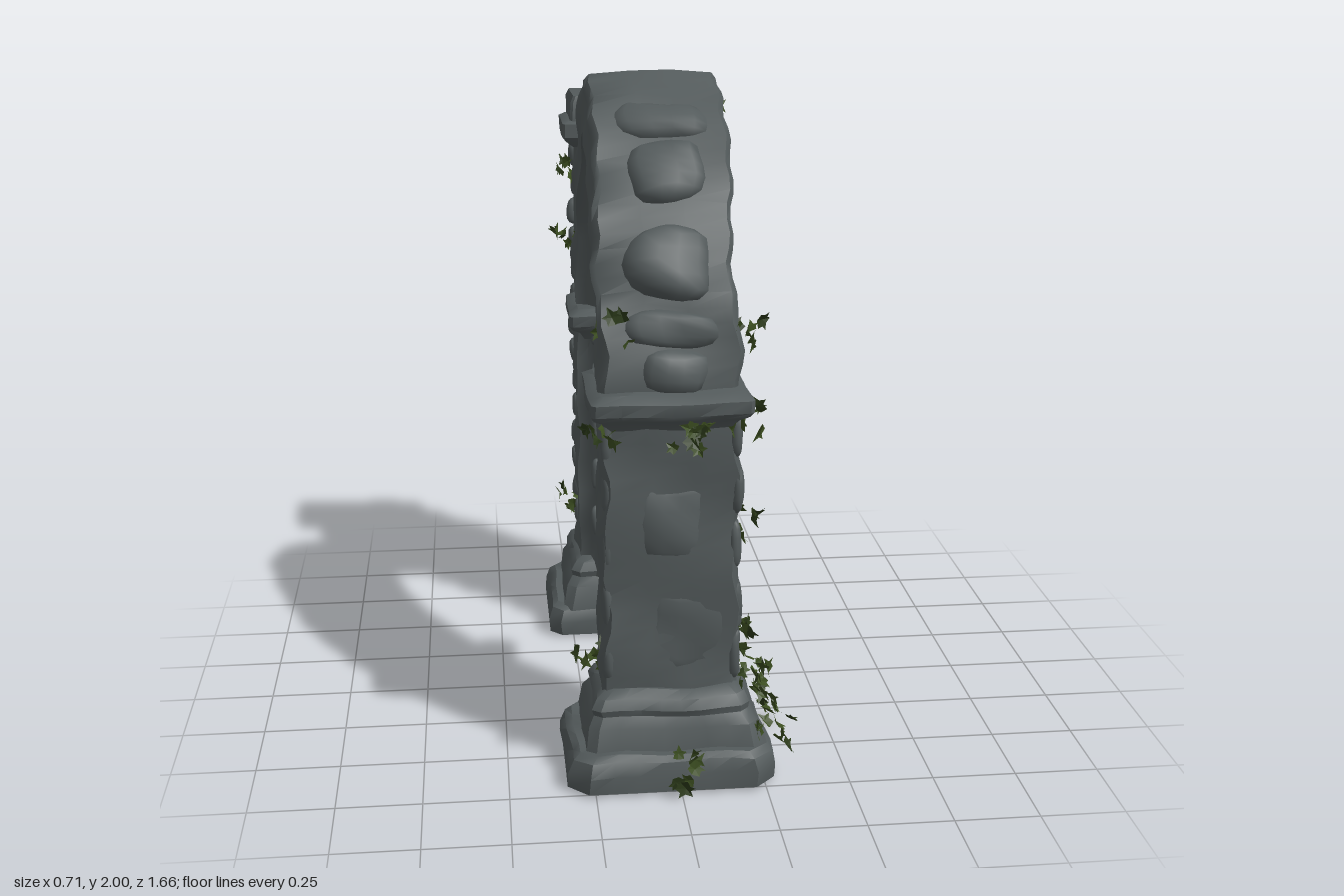
import * as THREE from 'three';
import { mergeGeometries, toCreasedNormals } from 'three/addons/utils/BufferGeometryUtils.js';

const CX = -0.02; // the masonry sits slightly off the x axis
const V = (x, y, z) => new THREE.Vector3(x, y, z);

function seeded(seed) {
  return () => {
    seed = (seed * 16807) % 2147483647;
    return seed / 2147483647;
  };
}

// Weathering: smooth displacement depending only on position
function weather(p, amp) {
  const { x, y, z } = p;
  p.x += amp * (Math.sin(17 * y + 9 * z) * 0.6 + Math.sin(31 * y - 23 * z + 1) * 0.4);
  p.y += amp * 0.5 * Math.sin(19 * x + 13 * z + 2);
  p.z += amp * (Math.sin(15 * y + 12 * x + 4) * 0.6 + Math.sin(27 * y + 21 * x) * 0.4);
  p.y = Math.min(2, Math.max(0, p.y));
  return p;
}

// Solid skin over closed rings that turn counter-clockwise about the direction of travel
function loft(rings, crease = 0.6) {
  const pos = [];
  const tri = (...pts) => pts.forEach((p) => pos.push(p.x, p.y, p.z));
  const n = rings[0].length;
  const middle = (r) => r.reduce((s, p) => s.add(p), V(0, 0, 0)).divideScalar(n);
  const first = rings[0], last = rings[rings.length - 1];
  const a = middle(first), b = middle(last);
  for (let j = 0; j < n; j++) {
    const k = (j + 1) % n;
    for (let i = 0; i < rings.length - 1; i++) {
      const r = rings[i], s = rings[i + 1];
      tri(r[j], r[k], s[k]);
      tri(r[j], s[k], s[j]);
    }
    tri(a, first[k], first[j]);
    tri(b, last[j], last[k]);
  }
  const geo = new THREE.BufferGeometry();
  geo.setAttribute('position', new THREE.Float32BufferAttribute(pos, 3));
  return toCreasedNormals(geo, crease);
}

// Points along a closed outline, with each side cut into short steps
function subdivide(pts, step) {
  const out = [];
  pts.forEach((p, i) => {
    const q = pts[(i + 1) % pts.length];
    const n = Math.max(1, Math.round(p.distanceTo(q) / step));
    for (let k = 0; k < n; k++) out.push(p.clone().lerp(q, k / n));
  });
  return out;
}

// Stacked rectangular courses with cut corners; profile rows are [y, inset]
function courses(x0, x1, z0, z1, profile, c, amp) {
  const outline = subdivide([
    [x1 - c, z1], [x1, z1 - c], [x1, z0 + c], [x1 - c, z0],
    [x0 + c, z0], [x0, z0 + c], [x0, z1 - c], [x0 + c, z1],
  ].map(([x, z]) => new THREE.Vector2(x, z)), 0.07);
  const mx = (x0 + x1) / 2, mz = (z0 + z1) / 2;
  const kx = (x1 - x0) / 2, kz = (z1 - z0) / 2;
  return loft(profile.map(([y, inset]) => outline.map((p) => weather(
    V(mx + (p.x - mx) * (1 - inset / kx), y, mz + (p.y - mz) * (1 - inset / kz)), y > 0 ? amp : 0))));
}

// Moulded section of legs and arch: x = across, y = 0 at the opening to 1 at the outside
const HALF = [[0.185, 1], [0.2, 0.92], [0.2, 0.3], [0.165, 0.24], [0.13, 0]];
const SECTION = subdivide([...HALF, ...HALF.map(([x, f]) => [-x, f]).reverse()]
  .map(([x, f]) => new THREE.Vector2(x, f)), 0.13);

function sweep(inner, outer, steps, side, amp) {
  const curve = (pts) => new THREE.CatmullRomCurve3(pts.map(([z, y]) => V(0, y, z * side)));
  const a = curve(inner), b = curve(outer);
  const rings = [];
  for (let i = 0; i <= steps; i++) {
    const p = a.getPointAt(i / steps), q = b.getPointAt(i / steps);
    const ring = SECTION.map((s) => {
      const v = p.clone().lerp(q, s.y);
      v.x = CX + s.x;
      return weather(v, amp * (0.25 + s.y));
    });
    rings.push(side > 0 ? ring : ring.reverse());
  }
  return loft(rings, 0.75);
}

// Worn boulder: a sphere pushed toward a block shape
function stone(x, y, z, rx, ry, rz, tilt = 0) {
  const geo = new THREE.SphereGeometry(1, 14, 10);
  const p = geo.attributes.position, v = V(0, 0, 0);
  for (let i = 0; i < p.count; i++) {
    v.fromBufferAttribute(p, i);
    v.multiplyScalar(0.6 + 0.32 / Math.max(Math.abs(v.x), Math.abs(v.y), Math.abs(v.z)));
    v.set(v.x * rx, v.y * ry, v.z * rz).applyAxisAngle(V(1, 0, 0), tilt).add(V(x, y, z));
    weather(v, Math.min(rx, ry, rz) * 0.2);
    p.setXYZ(i, v.x, v.y, v.z);
  }
  geo.computeVertexNormals();
  return geo;
}

// Lobed ivy leaf, folded along its middle
function leaf(size) {
  const half = [[0, 0, 0], [0.45, 0.1, 0.15], [0.38, 0.45, 0.1], [0.6, 0.65, 0.2], [0.2, 0.7, 0.05]];
  const rim = [...half, [0, 1.1, -0.15], ...half.slice(1).reverse().map(([x, y, z]) => [-x, y, z])];
  const pos = [];
  rim.forEach((p, i) => pos.push(0, 0.45, -0.08, ...p, ...rim[(i + 1) % rim.length]));
  const geo = new THREE.BufferGeometry();
  geo.setAttribute('position', new THREE.Float32BufferAttribute(pos.map((n) => n * size), 3));
  geo.computeVertexNormals();
  return geo;
}

export function createModel() {
  const model = new THREE.Group();
  const material = (name, color, side = THREE.FrontSide) => {
    const m = new THREE.MeshStandardMaterial({ color, side });
    m.name = name;
    return m;
  };
  const rock = material('grey stone', 0x535a5b);
  const green = material('ivy green', 0x3b4d20, THREE.DoubleSide);
  const dark = material('dark ivy green', 0x2c3b1a, THREE.DoubleSide);
  const add = (name, geo, mat = rock) => {
    const mesh = new THREE.Mesh(geo, mat);
    mesh.name = name;
    model.add(mesh);
  };
  const rand = seeded(71);

  // Legs, capitals and the two halves of the pointed arch
  const legIn = [[0.37, 0.2], [0.37, 0.65], [0.37, 1.12]];
  const legOut = legIn.map(([z, y]) => [z + 0.27, y]);
  const archIn = [[0.37, 1.1], [0.365, 1.24], [0.3, 1.45], [0.17, 1.64], [0, 1.74]];
  const archOut = [[0.62, 1.1], [0.62, 1.2], [0.565, 1.37], [0.45, 1.6], [0.29, 1.8], [0.14, 1.92], [0, 1.99]];
  const capital = [[1.06, 0.05], [1.085, 0.035], [1.1, 0.01], [1.115, 0], [1.15, 0], [1.17, 0.03]];
  for (const s of [1, -1]) {
    const label = s > 0 ? 'front' : 'back';
    const [z0, z1] = s > 0 ? [0.33, 0.69] : [-0.65, -0.33];
    add(label + 'Leg', sweep(legIn, legOut, 18, s, 0.012));
    add(label + 'ArchHalf', sweep(archIn, archOut, 26, s, 0.013));
    add(label + 'Capital', courses(-0.25, 0.21, z0, z1, capital, 0.012, 0.005));
  }

  // Stepped bases
  const foot = [[0, 0], [0.05, 0], [0.09, 0.012], [0.105, 0.03]];
  const plinth = [[0.09, 0], [0.17, 0.015], [0.2, 0.035], [0.22, 0.03], [0.25, 0.045], [0.27, 0.075]];
  add('frontFoot', courses(-0.33, 0.28, 0.32, 0.77, foot, 0.06, 0.01));
  add('backFoot', courses(-0.33, 0.28, -0.83, -0.36, foot, 0.04, 0.006));
  add('frontPlinth', courses(-0.28, 0.245, 0.35, 0.72, plinth, 0.03, 0.008));
  add('backPlinth', courses(-0.28, 0.245, -0.79, -0.365, plinth, 0.03, 0.006));

  // Tall buttress behind the back leg, with its cap and corbel
  add('buttress', courses(-0.21, 0.17, -0.73, -0.6, [[0.2, 0], [0.6, 0], [1, 0], [1.4, 0], [1.72, 0]], 0.01, 0.003));
  add('buttressCap', courses(-0.255, 0.215, -0.755, -0.51,
    [[1.68, 0.035], [1.7, 0.012], [1.715, 0], [1.76, 0], [1.77, 0.02]], 0.008, 0.003));
  add('buttressTop', courses(-0.23, 0.18, -0.74, -0.525, [[1.76, 0], [1.83, 0], [1.85, 0.008]], 0.008, 0.004));
  add('corbel', courses(-0.18, 0.14, -0.66, -0.53, [[1.45, 0.06], [1.58, 0.03], [1.7, 0]], 0.01, 0.004));

  // Crumbled corners of the buttress and legs
  const chips = [];
  for (const x of [-0.205, 0.165]) {
    for (let y = 0.33; y < 1.66; y += 0.1) {
      chips.push(stone(x, y, -0.72, 0.02 + rand() * 0.012, 0.05, 0.025 + rand() * 0.012));
    }
    for (let y = 0.36; y < 1.05; y += 0.17) {
      chips.push(stone(x + 0.005, y, 0.6, 0.022, 0.06 + rand() * 0.04, 0.04 + rand() * 0.015));
      chips.push(stone(x * 0.8, y + 0.05, -0.39, 0.02, 0.06, 0.02));
    }
  }
  chips.push(stone(0.15, 0.47, 0.44, 0.025, 0.12, 0.03), stone(0.18, 0.33, 0.485, 0.025, 0.035, 0.03));
  chips.push(stone(-0.02, 0.78, 0.61, 0.12, 0.14, 0.045), stone(0.03, 0.45, 0.61, 0.14, 0.15, 0.04));
  add('crumbledEdges', mergeGeometries(chips));

  // Bulging blocks along the back of the arch: [y, z, half width, half length, half depth, tilt]
  const blocks = [
    [1.22, 0.59, 0.11, 0.07, 0.06, -0.1], [1.33, 0.56, 0.15, 0.06, 0.055, -0.25],
    [1.5, 0.485, 0.14, 0.12, 0.07, -0.5], [1.73, 0.325, 0.125, 0.12, 0.07, -0.75],
    [1.85, 0.19, 0.16, 0.08, 0.06, -0.95], [1.78, -0.39, 0.135, 0.13, 0.1, 1.45],
    [1.68, -0.47, 0.16, 0.12, 0.1, 0.8], [1.87, -0.2, 0.16, 0.09, 0.05, 1],
  ];
  add('archBlocks', mergeGeometries(blocks.map(([y, z, rx, l, d, t]) => stone(-0.01, y, z, rx, l, d, t))));

  // Paving stones between the bases, lower toward the middle
  const paving = [];
  for (let z = 0.3; z > -0.35; z -= 0.09) {
    const h = 0.022 + z * z * 0.22;
    paving.push(stone((rand() - 0.5) * 0.08, h + 0.008, z, 0.085 + rand() * 0.03, h, 0.068));
  }
  add('pavingStones', mergeGeometries(paving));

  // Ivy: leaves scattered in clumps, each facing outward from the stone
  const leaves = [[], []];
  const wobble = () => rand() - 0.5;
  function clump(at, out, count) {
    out.normalize();
    for (let i = 0; i < count; i++) {
      const normal = out.clone().add(V(wobble(), wobble(), wobble()).multiplyScalar(1.5)).normalize();
      const turn = new THREE.Quaternion().setFromUnitVectors(V(0, 0, 1), normal);
      const p = V(wobble(), wobble(), wobble()).multiplyScalar(0.085).add(at).addScaledVector(out, 0.008 + rand() * 0.02);
      const geo = leaf(0.035 + rand() * 0.02).rotateZ(rand() * 6.28).applyQuaternion(turn);
      geo.translate(p.x, Math.max(0.045, p.y), p.z);
      leaves[i % 3 === 2 ? 1 : 0].push(geo);
    }
  }
  // [y, z] on the left side; those on the bases sit further out and face upward
  const leftIvy = [
    [1.07, 0.62], [0.77, 0.58], [1.83, -0.3], [1.21, -0.6], [1.35, -0.7], [1.63, -0.72], [1.06, -0.68],
    [0.77, -0.67], [0.45, -0.59], [0.39, -0.68], [0.55, -0.7], [0.42, 0.6], [1.34, 0.57], [0.25, -0.5],
    [0.25, -0.71], [0.12, -0.57], [0.08, -0.66], [0.26, 0.62], [0.2, 0.41], [0.12, 0.66], [0.05, 0.36],
  ];
  for (const [y, z] of leftIvy) {
    const low = y < 0.3;
    clump(V(low ? 0.3 - y * 0.35 : 0.185, y, z), V(1, low ? 0.7 : 0, 0), low ? 10 : 7);
  }
  for (const [y, z] of [[1.37, -0.68], [1.05, 0.62], [0.4, -0.7], [0.38, 0.57], [1.6, -0.72]]) {
    clump(V(-0.22, y, z), V(-1, 0, 0), 7);
  }
  for (const [x, y, z] of [[0.03, 1.06, 0.67], [-0.17, 1.33, 0.57], [0.01, 0.07, 0.76]]) {
    clump(V(x, y, z), V(0, 0.2, 1), 8);
  }
  add('ivyLeaves', mergeGeometries(leaves[0]), green);
  add('shadedIvyLeaves', mergeGeometries(leaves[1]), dark);
  return model;
}
